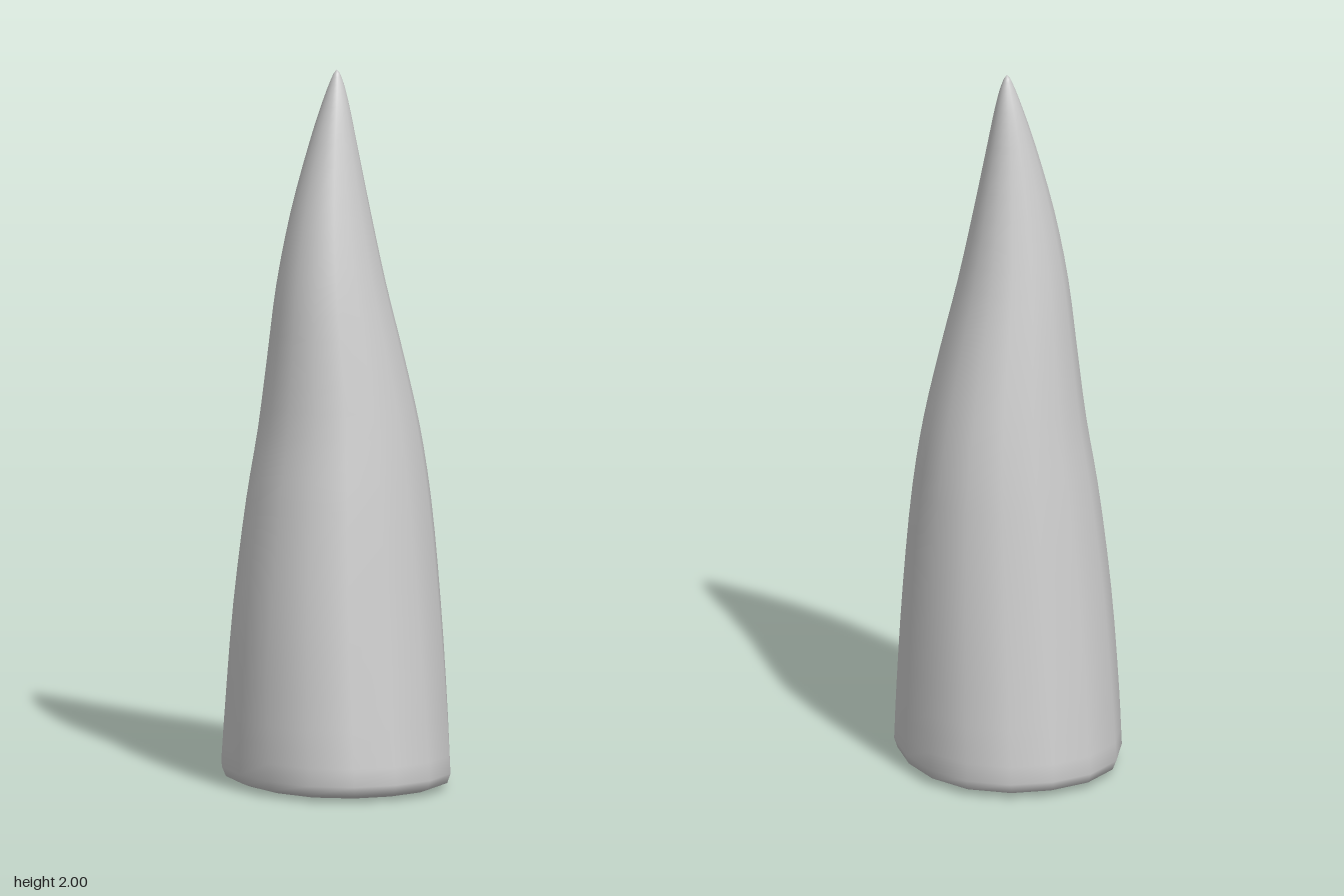
import * as THREE from 'three';

const SIDES = 16;

// Cross-sections from base to tip: [y, left edge x, right edge x, half depth z]
const SECTIONS = [
  [0.0, -0.2, 0.2, 0.25],
  [0.008, -0.27, 0.27, 0.33],
  [0.018, -0.296, 0.296, 0.357],
  [0.045, -0.307, 0.305, 0.368],
  [0.2, -0.302, 0.301, 0.347],
  [0.5, -0.283, 0.287, 0.305],
  [0.8, -0.248, 0.262, 0.262],
  [1.0, -0.215, 0.231, 0.23],
  [1.2, -0.191, 0.185, 0.195],
  [1.4, -0.168, 0.135, 0.156],
  [1.6, -0.13, 0.093, 0.113],
  [1.8, -0.075, 0.054, 0.067],
  [1.9, -0.042, 0.035, 0.041],
  [1.96, -0.02, 0.021, 0.021],
  [1.99, -0.007, 0.01, 0.009],
];

// Ring stack closed by a centre point at each end
function loft(sections) {
  const pos = [];
  const index = [];
  for (const [y, x0, x1, depth] of sections) {
    for (let j = 0; j < SIDES; j++) {
      const a = (j / SIDES) * Math.PI * 2;
      // slightly squared ellipse with a small sideways skew
      const bulge = 1 + 0.035 * Math.sin(2 * a) ** 2;
      const z = depth * Math.sin(a) * bulge;
      const x = (x0 + x1) / 2 + ((x1 - x0) / 2) * Math.cos(a) * bulge - 0.04 * z;
      pos.push(x, y, z);
    }
  }
  const last = (sections.length - 1) * SIDES;
  const base = pos.length / 3;
  const tip = base + 1;
  pos.push(0, 0, 0, 0.002, 2, 0);
  for (let j = 0; j < SIDES; j++) {
    const k = (j + 1) % SIDES;
    for (let r = 0; r < last; r += SIDES) {
      index.push(r + j, r + SIDES + j, r + k, r + k, r + SIDES + j, r + SIDES + k);
    }
    index.push(base, j, k, last + j, tip, last + k);
  }
  const geo = new THREE.BufferGeometry();
  geo.setAttribute('position', new THREE.Float32BufferAttribute(pos, 3));
  geo.setIndex(index);
  geo.computeVertexNormals();
  return geo;
}

// Smooth the body sections, keeping the base bevel as given
function refine(sections) {
  const body = sections.slice(3);
  const left = new THREE.CatmullRomCurve3(body.map(([y, x0, , z]) => new THREE.Vector3(x0, y, z)));
  const right = new THREE.CatmullRomCurve3(body.map(([y, , x1, z]) => new THREE.Vector3(x1, y, z)));
  const steps = (body.length - 1) * 3;
  const rows = sections.slice(0, 3);
  for (let i = 0; i <= steps; i++) {
    const l = left.getPoint(i / steps);
    const r = right.getPoint(i / steps);
    rows.push([(l.y + r.y) / 2, l.x, r.x, (l.z + r.z) / 2]);
  }
  return rows;
}

export function createModel() {
  const group = new THREE.Group();
  group.name = 'spike';
  const body = new THREE.Mesh(
    loft(refine(SECTIONS)),
    new THREE.MeshStandardMaterial({ color: 0xcccccc })
  );
  body.name = 'spikeBody';
  group.add(body);
  return group;
}
